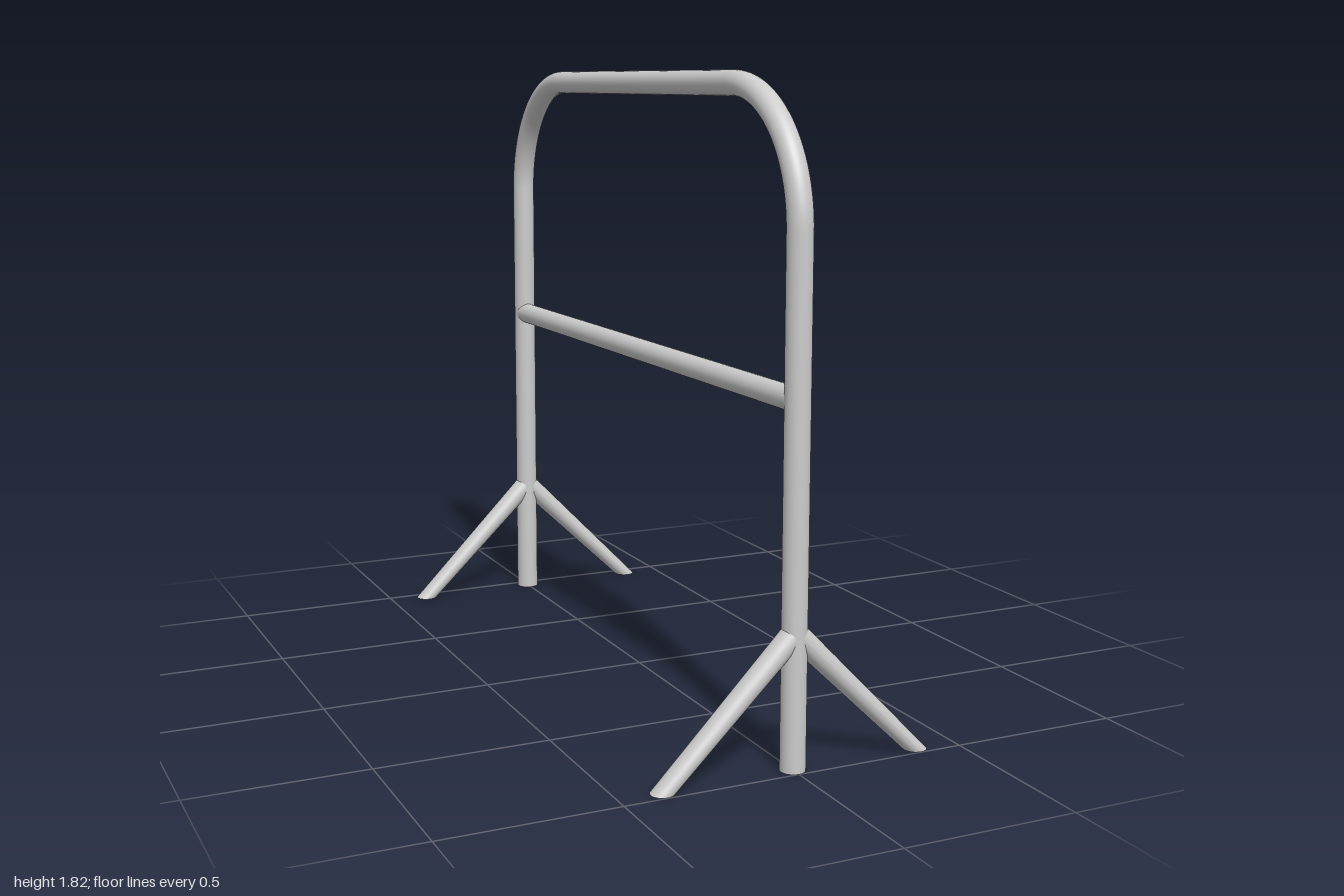
import * as THREE from 'three';

const R = 0.035;      // main tube radius
const r = 0.033;      // crossbar and brace radius
const HALF = 0.965;   // tube centre of each post
const TOP = 1.78;     // tube centre of the top rail
const BEND = 0.365;   // corner bend radius
const SIDES = 32;

const material = new THREE.MeshStandardMaterial({ color: 0xcccccc });

function part(name, geometry, parent) {
  const mesh = new THREE.Mesh(geometry, material);
  mesh.name = name;
  parent.add(mesh);
  return mesh;
}

// Slanted brace: top ring square to the tube, bottom ring flat on the ground
function braceGeometry() {
  const g = new THREE.CylinderGeometry(r, r, 1, SIDES, 1);
  const p = g.attributes.position;
  const s = Math.SQRT1_2;
  for (let i = 0; i < p.count; i++) {
    const x = p.getX(i);
    if (p.getY(i) > 0) p.setXY(i, x * s, 0.374 + x * s);
    else p.setXY(i, 0.378 + x, 0);
  }
  g.computeVertexNormals();
  return g;
}

export function createModel() {
  const model = new THREE.Group();
  model.name = 'hoopBarrier';

  // Hoop, laid out along x and turned to run along z
  const hoop = new THREE.Group();
  hoop.name = 'hoop';
  hoop.rotation.y = -Math.PI / 2;
  model.add(hoop);

  const postHeight = TOP - BEND;
  for (const side of [1, -1]) {
    const label = side > 0 ? 'front' : 'back';

    const post = part(label + 'Post', new THREE.CylinderGeometry(R, R, postHeight, SIDES), hoop);
    post.position.set(side * HALF, postHeight / 2, 0);

    const corner = part(label + 'Corner', new THREE.TorusGeometry(BEND, R, SIDES, 32, Math.PI / 2), hoop);
    corner.position.set(side * (HALF - BEND), postHeight, 0);
    if (side < 0) corner.rotation.y = Math.PI;

    // Pair of braces spreading left and right from each post
    for (const dir of [1, -1]) {
      const brace = part(label + (dir > 0 ? 'Left' : 'Right') + 'Brace', braceGeometry(), model);
      brace.position.z = side * HALF;
      if (dir < 0) brace.rotation.y = Math.PI;
    }
  }

  // Horizontal tubes
  const rail = part('topRail', new THREE.CylinderGeometry(R, R, 2 * (HALF - BEND), SIDES), hoop);
  rail.position.y = TOP;
  rail.rotation.z = Math.PI / 2;

  const bar = part('crossbar', new THREE.CylinderGeometry(r, r, 2 * HALF - 0.02, SIDES), hoop);
  bar.position.y = 0.985;
  bar.rotation.z = Math.PI / 2;

  return model;
}
